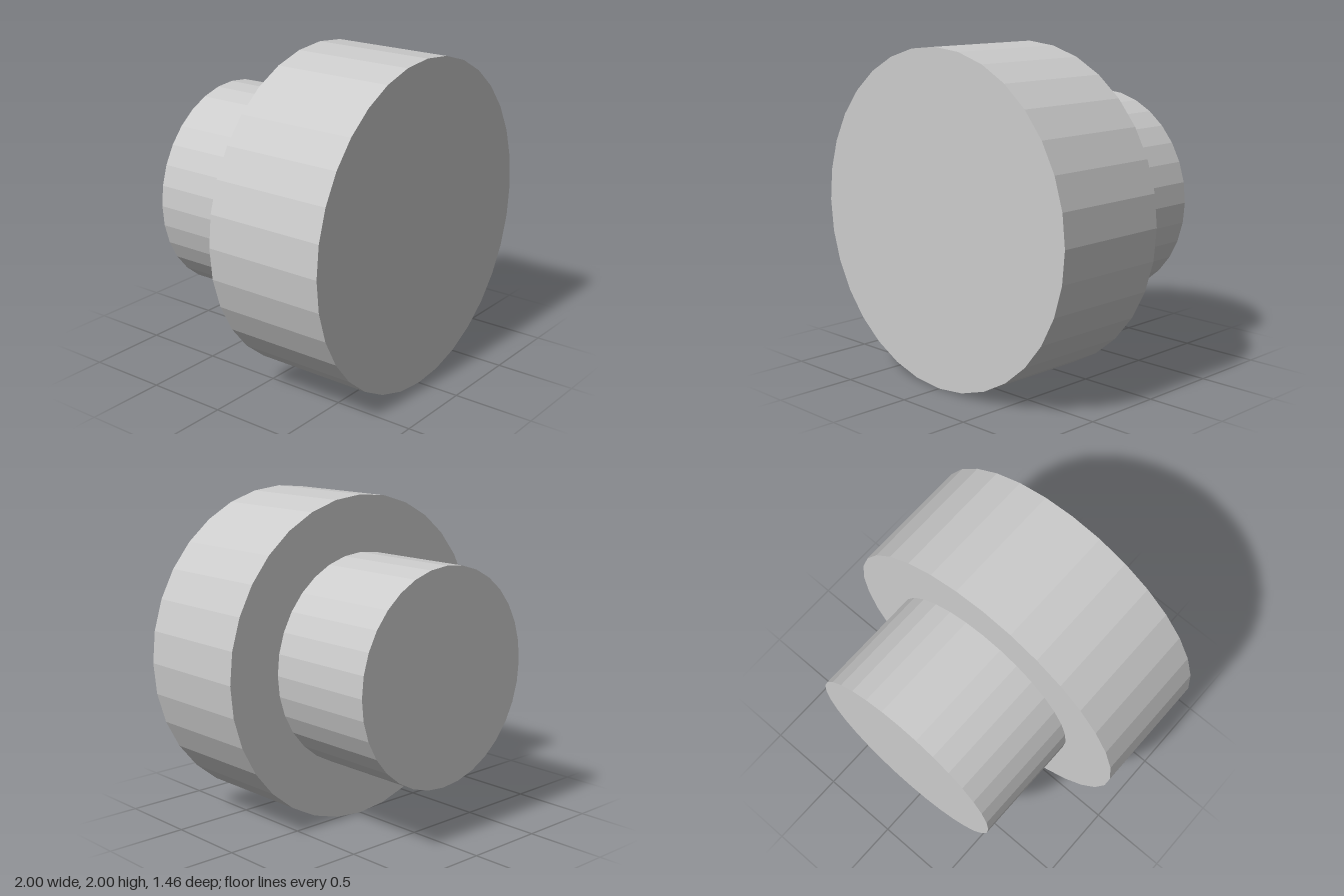
import * as THREE from 'three';

const SIDES = 32;

export function createModel() {
  const model = new THREE.Group();
  model.name = 'steppedKnob';
  const material = new THREE.MeshStandardMaterial({ color: 0xcccccc, flatShading: true });

  // A closed cylinder along z, from zBack to zFront, on the shared axis at y = 1
  function addDisc(name, radius, zBack, zFront) {
    const geometry = new THREE.CylinderGeometry(radius, radius, zFront - zBack, SIDES);
    geometry.rotateX(Math.PI / 2);
    const mesh = new THREE.Mesh(geometry, material);
    mesh.name = name;
    mesh.position.set(0, 1, (zBack + zFront) / 2);
    model.add(mesh);
  }

  addDisc('head', 1, -0.025, 0.732); // wide front cylinder
  addDisc('stem', 0.655, -0.732, -0.025); // narrower rear cylinder

  return model;
}
